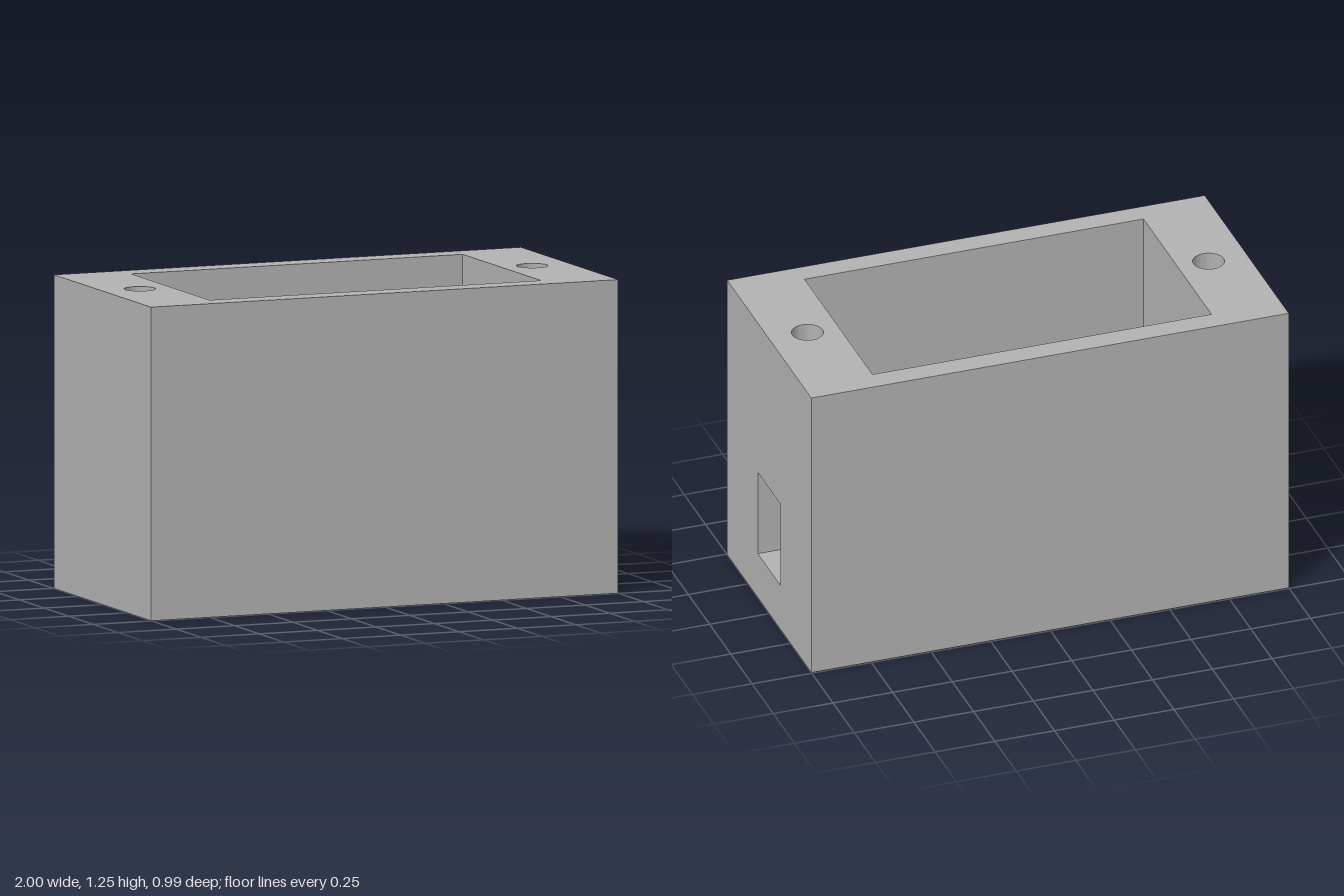
import * as THREE from 'three';
import { toCreasedNormals } from 'three/addons/utils/BufferGeometryUtils.js';

const W = 2, H = 1.25, D = 0.99;              // outer block
const CW = 1.42, CD = 0.8, FLOOR = 0.2;       // open cavity
const WIN = { w: 0.27, h: 0.37, y: 0.385 };   // side window
const SCREW = { x: 0.84, r: 0.063, depth: 0.4 };
const RECESS = { x: 0.33, r: 0.193, depth: 0.157 };
const SEG = 48, Q = Math.PI / 2;

function rectPath(path, w, h, y = 0) {
  path.moveTo(-w / 2, y - h / 2);
  path.lineTo(w / 2, y - h / 2);
  path.lineTo(w / 2, y + h / 2);
  path.lineTo(-w / 2, y + h / 2);
  path.closePath();
  return path;
}

const rectHole = (w, h, y) => rectPath(new THREE.Path(), w, h, y);
const roundHole = (x, r) => new THREE.Path().absarc(x, 0, r, 0, Math.PI * 2, true);

export function createModel() {
  const model = new THREE.Group();
  model.name = 'enclosure';
  const grey = new THREE.MeshStandardMaterial({ color: 0xb2b2b2 });
  grey.name = 'grey';

  // Flat wall, facing +z before it is turned
  function panel(name, w, h, pos, rx = 0, ry = 0, holes = []) {
    const shape = rectPath(new THREE.Shape(), w, h);
    shape.holes.push(...holes);
    const mesh = new THREE.Mesh(new THREE.ShapeGeometry(shape, SEG / 2), grey);
    mesh.name = name;
    mesh.position.set(...pos);
    mesh.rotation.set(rx, ry, 0);
    model.add(mesh);
  }

  // Blind round hole, sunk down from its origin
  function blindHole(name, r, depth, pos, rx = 0) {
    const profile = [[r, 0], [r, -depth], [0, -depth]].map(p => new THREE.Vector2(...p));
    const geometry = toCreasedNormals(new THREE.LatheGeometry(profile, SEG, Q), 0.6);
    const mesh = new THREE.Mesh(geometry, grey);
    mesh.name = name;
    mesh.position.set(...pos);
    mesh.rotation.x = rx;
    model.add(mesh);
  }

  // Outer block
  panel('frontWall', W, H, [0, H / 2, D / 2]);
  panel('backWall', W, H, [0, H / 2, -D / 2], 0, Math.PI);
  panel('leftWall', D, H, [W / 2, H / 2, 0], 0, Q, [rectHole(WIN.w, WIN.h, WIN.y - H / 2)]);
  panel('rightWall', D, H, [-W / 2, H / 2, 0], 0, -Q);
  panel('topRim', W, D, [0, H, 0], -Q, 0,
    [rectHole(CW, CD), roundHole(SCREW.x, SCREW.r), roundHole(-SCREW.x, SCREW.r)]);
  panel('underside', W, D, [0, 0, 0], Q, 0, [roundHole(RECESS.x, RECESS.r)]);

  // Cavity
  const ch = H - FLOOR, cy = (H + FLOOR) / 2;
  panel('cavityFloor', CW, CD, [0, FLOOR, 0], -Q);
  panel('cavityFront', CW, ch, [0, cy, CD / 2], 0, Math.PI);
  panel('cavityBack', CW, ch, [0, cy, -CD / 2]);
  panel('cavityLeft', CD, ch, [CW / 2, cy, 0], 0, -Q, [rectHole(WIN.w, WIN.h, WIN.y - cy)]);
  panel('cavityRight', CD, ch, [-CW / 2, cy, 0], 0, Q);

  // Window passage through the left wall
  const tl = (W - CW) / 2, tx = (W + CW) / 4;
  panel('windowSill', tl, WIN.w, [tx, WIN.y - WIN.h / 2, 0], -Q);
  panel('windowHead', tl, WIN.w, [tx, WIN.y + WIN.h / 2, 0], Q);
  panel('windowBackSide', tl, WIN.h, [tx, WIN.y, -WIN.w / 2]);
  panel('windowFrontSide', tl, WIN.h, [tx, WIN.y, WIN.w / 2], 0, Math.PI);

  // Screw holes and round recess
  for (const side of [1, -1]) blindHole('screwHole', SCREW.r, SCREW.depth, [side * SCREW.x, H, 0]);
  blindHole('bottomRecess', RECESS.r, RECESS.depth, [RECESS.x, 0, 0], Math.PI);

  return model;
}
